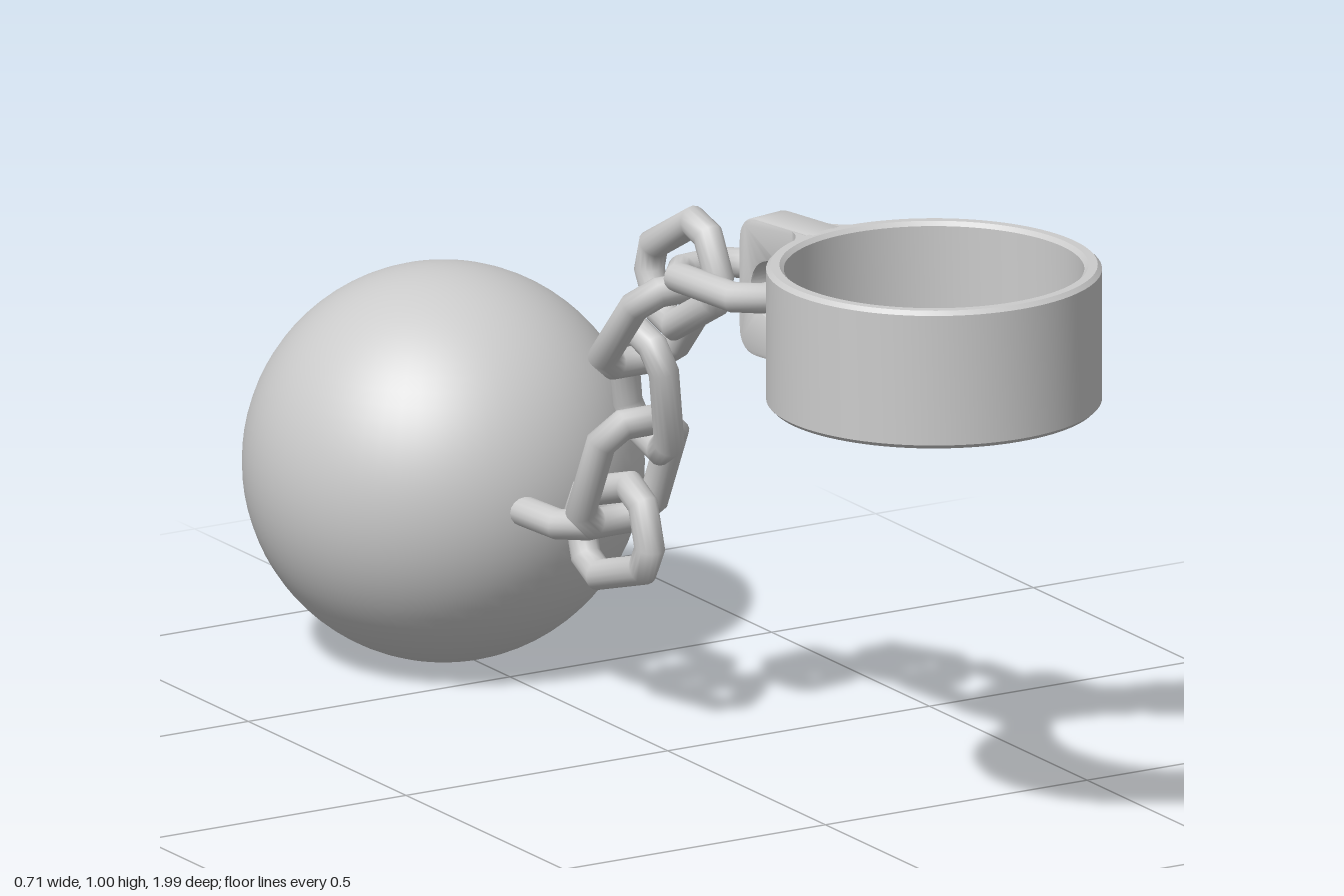
import * as THREE from 'three';
import { mergeVertices, toCreasedNormals } from 'three/addons/utils/BufferGeometryUtils.js';

const material = new THREE.MeshStandardMaterial({ color: 0xcccccc, side: THREE.DoubleSide });

function part(name, geometry, parent) {
  const mesh = new THREE.Mesh(geometry, material);
  mesh.name = name;
  parent.add(mesh);
  return mesh;
}

// Long eight-cornered link of round wire with mitred corners, lying in the xy plane
function linkGeometry(wire = 0.025) {
  const corners = [];
  for (const [x, y] of [[0.069, 0.072], [0.036, 0.106]]) corners.push(new THREE.Vector2(x, y));
  for (const [x, y] of [[-0.036, 0.106], [-0.069, 0.072], [-0.069, -0.072], [-0.036, -0.106],
    [0.036, -0.106], [0.069, -0.072]]) corners.push(new THREE.Vector2(x, y));
  const n = corners.length, sides = 16;
  const outward = (a, b) => new THREE.Vector2(b.y - a.y, a.x - b.x).normalize();

  // Each ring of the torus moves to one corner of the link
  const geo = new THREE.TorusGeometry(1, 0.3, sides, n);
  const pos = geo.attributes.position;
  for (let j = 0; j <= sides; j++) {
    const a = (j % sides) / sides * Math.PI * 2;
    for (let i = 0; i <= n; i++) {
      const c = corners[i % n];
      const n1 = outward(corners[(i + n - 1) % n], c);
      const n2 = outward(c, corners[(i + 1) % n]);
      const miter = n1.clone().add(n2).normalize();
      const r = wire * Math.cos(a) / miter.dot(n1);
      pos.setXYZ(j * (n + 1) + i, c.x + miter.x * r, c.y + miter.y * r, wire * Math.sin(a));
    }
  }
  geo.deleteAttribute('uv');
  geo.deleteAttribute('normal');
  const merged = mergeVertices(geo, 1e-5);
  merged.computeVertexNormals();
  return merged;
}

function buildCuff() {
  const cuff = new THREE.Group();
  cuff.name = 'cuff';
  cuff.position.set(0.075, 0.8825, 0.72);

  // Band with small bevels on its rims
  const h = 0.1175, b = 0.007, ro = 0.275, ri = 0.246;
  const profile = [[ri, -h + b], [ri + b, -h], [ro - b, -h], [ro, -h + b], [ro, h - b], [ro - b, h],
    [ri + b, h], [ri, h - b], [ri, -h + b]].map(([x, y]) => new THREE.Vector2(x, y));
  part('cuffBand', toCreasedNormals(new THREE.LatheGeometry(profile, 96), 0.6), cuff);

  // Lug at the back, local x pointing away from the band
  const lug = new THREE.Group();
  lug.name = 'lug';
  lug.rotation.y = Math.PI / 2 + 0.2;
  cuff.add(lug);

  const end = 0.427, start = 0.262, top = 0.1125, round = 0.04;
  const plate = new THREE.Shape();
  plate.moveTo(start, -top);
  plate.lineTo(end - round, -top);
  plate.quadraticCurveTo(end, -top, end, -top + round);
  plate.lineTo(end, top - round);
  plate.quadraticCurveTo(end, top, end - round, top);
  plate.lineTo(start, top);
  plate.closePath();
  const eye = new THREE.Path();
  eye.absarc(0.354, 0.003, 0.053, 0, Math.PI * 2, true);
  plate.holes.push(eye);
  const plateGeo = new THREE.ExtrudeGeometry(plate, {
    depth: 0.066, bevelSize: 0.005, bevelThickness: 0.005, bevelSegments: 2, curveSegments: 20,
  });
  plateGeo.translate(0, 0, -0.033);
  part('lugPlate', toCreasedNormals(plateGeo, 0.6), lug);

  // Curved fillet blending the lug into the band
  const fillet = new THREE.Shape();
  fillet.moveTo(0.25, -0.09);
  fillet.quadraticCurveTo(0.275, -0.045, 0.304, -0.037);
  fillet.lineTo(0.304, 0.037);
  fillet.quadraticCurveTo(0.275, 0.045, 0.25, 0.09);
  fillet.lineTo(0.262, 0.03);
  fillet.lineTo(0.262, -0.03);
  fillet.closePath();
  const filletGeo = new THREE.ExtrudeGeometry(fillet, { depth: 0.23, bevelEnabled: false, curveSegments: 10 });
  filletGeo.rotateX(-Math.PI / 2).translate(0, -0.115, 0);
  part('lugFillet', toCreasedNormals(filletGeo, 0.6), lug);
  return cuff;
}

function buildChain() {
  const chain = new THREE.Group();
  chain.name = 'chain';
  const geometry = linkGeometry();
  // Centre and long direction of each link, from cuff to ball; every second one stands upright
  const links = [
    [[-0.025, 0.875, 0.27], [-0.03, 0, -0.26]],
    [[-0.035, 0.848, 0.11], [0, -0.11, -0.2]],
    [[-0.033, 0.735, 0.015], [0, -0.19, -0.17]],
    [[-0.012, 0.61, -0.05], [0.06, -0.24, -0.07]],
    [[-0.012, 0.452, -0.108], [0, -0.23, -0.11]],
    [[-0.003, 0.335, -0.164], [0, -0.075, -0.24]],
    [[0.01, 0.332, -0.33], [-0.02, 0, -0.24]],
  ];
  links.forEach(([centre, direction], i) => {
    const along = new THREE.Vector3(...direction).normalize();
    const side = new THREE.Vector3(1, 0, 0).addScaledVector(along, -along.x).normalize();
    const third = new THREE.Vector3().crossVectors(side, along);
    const basis = new THREE.Matrix4();
    if (i % 2) basis.makeBasis(third.negate(), along, side);
    else basis.makeBasis(side, along, third);
    const link = part('chainLink' + (i + 1), geometry, chain);
    link.quaternion.setFromRotationMatrix(basis);
    link.position.set(...centre);
  });
  chain.children[6].scale.x = 1.08;
  return chain;
}

export function createModel() {
  const model = new THREE.Group();
  model.name = 'ballAndChain';
  const ball = part('ball', new THREE.SphereGeometry(0.33, 64, 40), model);
  ball.position.set(-0.026, 0.33, -0.668);
  model.add(buildCuff(), buildChain());
  return model;
}
